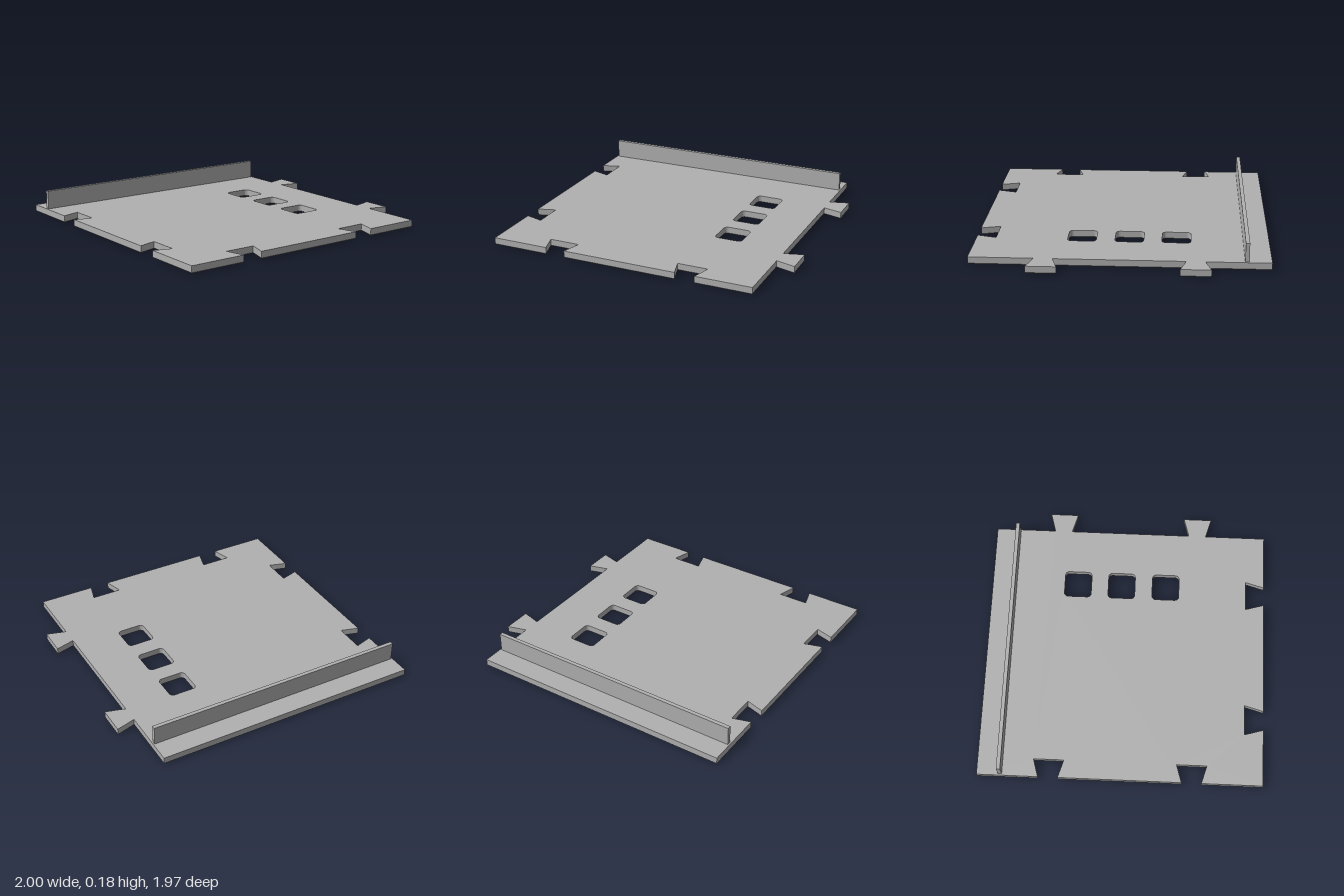
import * as THREE from 'three';

const HEIGHT = 0.05;
const CHAMFER = 0.006;

const pts = (list) => list.map(([x, z]) => new THREE.Vector2(x, -z));

// Rounded window, wound clockwise so the material stays on the left
function windowLoop(cx, cz, half, r) {
  const loop = [];
  for (let corner = 0; corner < 4; corner++) {
    const mid = -Math.PI / 4 - (corner * Math.PI) / 2;
    const sx = Math.sign(Math.cos(mid)), sy = Math.sign(Math.sin(mid));
    for (let i = 0; i <= 4; i++) {
      const a = mid + Math.PI / 4 - (i / 4) * (Math.PI / 2);
      loop.push(new THREE.Vector2(
        cx + sx * (half - r) + r * Math.cos(a),
        -cz + sy * (half - r) + r * Math.sin(a)));
    }
  }
  return loop;
}

// Move every edge of a loop into the material by d
function inset(loop, d) {
  const n = loop.length;
  return loop.map((p, i) => {
    const a = p.clone().sub(loop[(i + n - 1) % n]).normalize();
    const b = loop[(i + 1) % n].clone().sub(p).normalize();
    const na = new THREE.Vector2(-a.y, a.x), nb = new THREE.Vector2(-b.y, b.x);
    const k = d / (1 + na.dot(nb));
    return p.clone().add(na.add(nb).multiplyScalar(k));
  });
}

// Flat slab with a small chamfer along its underside edges
function slabGeometry(outline, holes) {
  const loops = [outline, ...holes];
  const feet = loops.map((l) => inset(l, CHAMFER));
  const pos = [];
  const put = (p, h) => pos.push(p.x, h, -p.y);
  const top = loops.flat(), bottom = feet.flat();
  for (const [a, b, c] of THREE.ShapeUtils.triangulateShape(outline, holes)) {
    [a, b, c].forEach((i) => put(top[i], HEIGHT));
    [a, c, b].forEach((i) => put(bottom[i], 0));
  }
  const band = (low, lowY, high, highY) => low.forEach((p, i) => {
    const j = (i + 1) % low.length;
    put(p, lowY); put(low[j], lowY); put(high[j], highY);
    put(p, lowY); put(high[j], highY); put(high[i], highY);
  });
  loops.forEach((loop, i) => {
    band(feet[i], 0, loop, CHAMFER);
    band(loop, CHAMFER, loop, HEIGHT);
  });
  const geo = new THREE.BufferGeometry();
  geo.setAttribute('position', new THREE.Float32BufferAttribute(pos, 3));
  geo.computeVertexNormals();
  return geo;
}

export function createModel() {
  const model = new THREE.Group();
  model.name = 'interlockingPanel';
  const grey = new THREE.MeshStandardMaterial({ color: 0xb0b0b0 });
  grey.name = 'grey';

  const L = -1, R = 0.865, F = 0.987;
  const outline = [[L, F]];
  // Dovetail sockets in the front edge
  for (const x of [-0.535, 0.404]) {
    outline.push([x - 0.068, F], [x - 0.106, 0.855], [x + 0.106, 0.855], [x + 0.068, F]);
  }
  outline.push([R, F]);
  // Dovetail tabs on the +x edge
  for (const z of [0.494, -0.496]) {
    outline.push([R, z + 0.062], [1, z + 0.1], [1, z - 0.1], [R, z - 0.062]);
  }
  outline.push([R, -F], [L, -F]);
  // Dovetail sockets in the -x edge
  for (const z of [-0.496, 0.494]) {
    outline.push([L, z - 0.068], [-0.875, z - 0.105], [-0.875, z + 0.105], [L, z + 0.068]);
  }

  // Panel with three rounded windows
  const holes = [-0.365, -0.048, 0.272].map((z) => windowLoop(0.445, z, 0.097, 0.027));
  const panel = new THREE.Mesh(slabGeometry(pts(outline), holes), grey);
  panel.name = 'panel';
  model.add(panel);

  // Upright rail near the back edge
  const rail = new THREE.Mesh(new THREE.BoxGeometry(1.845, 0.13, 0.027), grey);
  rail.name = 'rail';
  rail.position.set(-0.067, HEIGHT + 0.065, -0.826);
  model.add(rail);

  return model;
}
